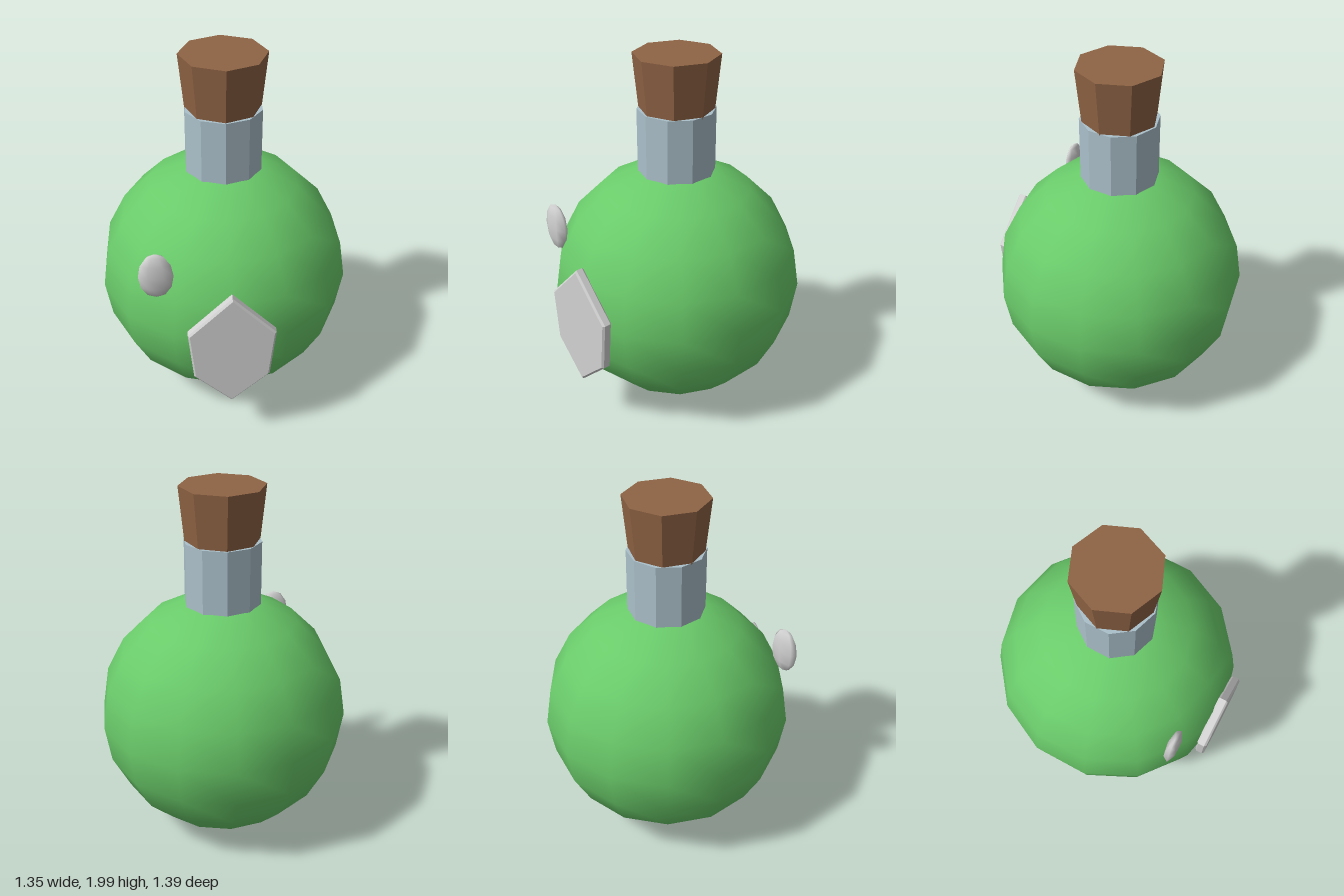
import * as THREE from 'three';

const material = (name, color) => {
  const m = new THREE.MeshStandardMaterial({ color });
  m.name = name;
  return m;
};

export function createModel() {
  const group = new THREE.Group();
  const green = material('green liquid', 0x6acb6a);
  const glass = material('pale glass', 0xabc0ca);
  const cork = material('cork brown', 0x8f6344);
  const pale = material('pale grey', 0xd2d2d2);

  const add = (name, geometry, mat, x, y, z) => {
    const mesh = new THREE.Mesh(geometry, mat);
    mesh.name = name;
    mesh.position.set(x, y, z);
    group.add(mesh);
    return mesh;
  };

  // Faceted tube with flat sides and closed ends
  const prism = (top, bottom, y0, y1, sides) => {
    const g = new THREE.CylinderGeometry(top, bottom, y1 - y0, sides).toNonIndexed();
    g.computeVertexNormals();
    return g.translate(0, (y0 + y1) / 2, 0);
  };

  // Round flask body, 14 sides with a vertex on the z axis
  add('body', new THREE.SphereGeometry(0.693, 14, 10).rotateY(Math.PI / 2), green, 0, 0.7, 0);

  // Neck and flared stopper
  add('neck', prism(0.21, 0.21, 1.25, 1.71, 10), glass, 0, 0, 0);
  add('stopper', prism(0.23, 0.192, 1.62, 2, 8), cork, 0, 0, 0);

  // Six-sided label plate with a narrow bevel
  const outline = new THREE.Shape([
    [0, 0.99], [-0.228, 0.758], [-0.2, 0.475], [0, 0.29], [0.2, 0.475], [0.228, 0.758],
  ].map(([x, y]) => new THREE.Vector2(x, y)));
  add('label', new THREE.ExtrudeGeometry(outline, {
    depth: 0.035, bevelEnabled: true, bevelThickness: 0.01,
    bevelSize: 0.01, bevelOffset: -0.01, bevelSegments: 1,
  }), pale, 0, 0, 0.65);

  // Flattened glint on the upper right of the flask
  const glint = new THREE.SphereGeometry(1, 7, 6).rotateY(-Math.PI / 2);
  glint.scale(0.092, 0.135, 0.034);
  add('glint', glint, pale, -0.377, 1.045, 0.546);

  return group;
}
